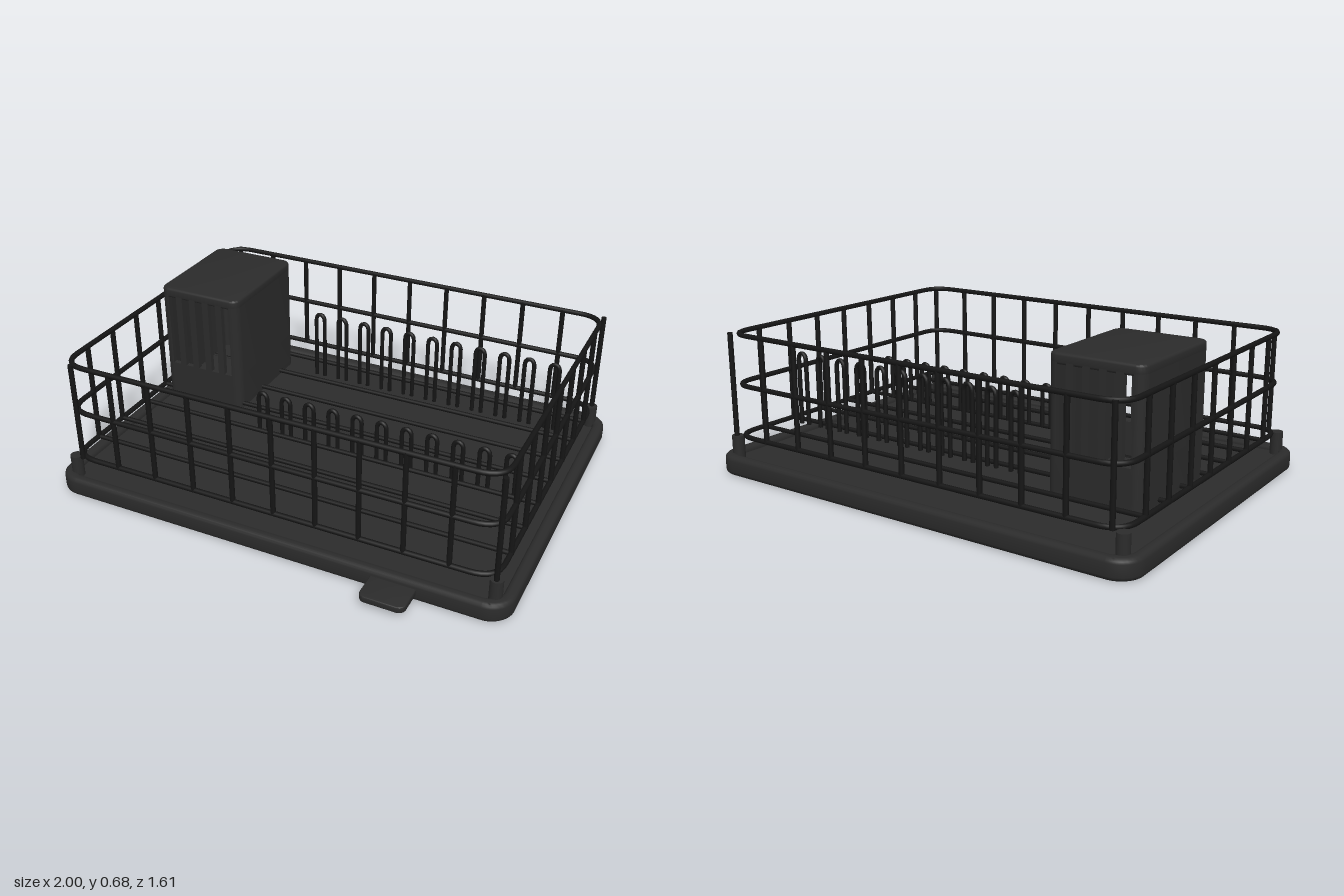
import * as THREE from 'three';
import { toCreasedNormals } from 'three/addons/utils/BufferGeometryUtils.js';

const mat = (name, color) => {
  const m = new THREE.MeshStandardMaterial({ color });
  m.name = name;
  return m;
};

// Rounded rectangle outline with half sizes w, d and corner radius r
function roundRect(w, d, r, Type = THREE.Shape) {
  const s = new Type();
  s.moveTo(-w + r, -d);
  s.lineTo(w - r, -d);
  s.absarc(w - r, -d + r, r, -Math.PI / 2, 0);
  s.lineTo(w, d - r);
  s.absarc(w - r, d - r, r, 0, Math.PI / 2);
  s.lineTo(-w + r, d);
  s.absarc(-w + r, d - r, r, Math.PI / 2, Math.PI);
  s.lineTo(-w, -d + r);
  s.absarc(-w + r, -d + r, r, Math.PI, Math.PI * 1.5);
  return s;
}

// Plan shape raised from y0 to y1, with an optional rounded edge inside that height
function slab(shape, y0, y1, bevel = 0) {
  const g = new THREE.ExtrudeGeometry(shape, {
    depth: y1 - y0 - 2 * bevel, bevelEnabled: bevel > 0, bevelSize: bevel,
    bevelThickness: bevel, bevelOffset: -bevel, bevelSegments: 3, curveSegments: 8,
  });
  g.rotateX(-Math.PI / 2).translate(0, y0 + bevel, 0);
  return toCreasedNormals(g, 0.7);
}

export function createModel() {
  const plastic = mat('charcoal plastic', 0x2b2b2b);
  const wire = mat('black wire', 0x151515);
  const model = new THREE.Group();
  model.name = 'dishRack';

  const add = (parent, name, geometry, material, x = 0, y = 0, z = 0) => {
    const m = new THREE.Mesh(geometry, material);
    m.name = name;
    m.position.set(x, y, z);
    parent.add(m);
    return m;
  };
  const group = (name, x, z) => {
    const g = new THREE.Group();
    g.name = name;
    g.position.set(x, 0, z);
    model.add(g);
    return g;
  };
  const CZ = -0.06;

  // Drip tray with raised rim and drain spout
  const tray = group('dripTray', 0, CZ);
  add(tray, 'trayFloor', slab(roundRect(0.98, 0.722, 0.08), 0.001, 0.06), plastic);
  const rim = roundRect(1, 0.742, 0.1);
  rim.holes.push(roundRect(0.95, 0.692, 0.06, THREE.Path));
  add(tray, 'trayRim', slab(rim, 0, 0.083, 0.018), plastic);
  add(tray, 'drainSpout', slab(roundRect(0.0925, 0.083, 0.03), 0.03, 0.057, 0.004), plastic, 0.556, 0, 0.78);

  // Wire basket: three rounded hoops
  const basket = group('wireBasket', 0, CZ);
  const W = 0.93, D = 0.678, R = 0.105, LOW = 0.16, HIGH = 0.598;
  const hoop = new THREE.CurvePath();
  const corners = [[1, 1], [-1, 1], [-1, -1], [1, -1]];
  const v = (x, z) => new THREE.Vector3(x, 0, z);
  corners.forEach(([sx, sz], i) => {
    const alongX = v(sx * (W - R), sz * D), alongZ = v(sx * W, sz * (D - R));
    const [a, b] = i % 2 ? [alongX, alongZ] : [alongZ, alongX];
    const [nx, nz] = corners[(i + 1) % 4];
    const next = i % 2 ? v(nx * (W - R), nz * D) : v(nx * W, nz * (D - R));
    hoop.add(new THREE.QuadraticBezierCurve3(a, v(sx * W, sz * D), b));
    hoop.add(new THREE.LineCurve3(b, i % 2 ? v(nx * W, nz * (D - R)) : v(nx * (W - R), nz * D)));
    next.setY(0);
  });
  const hoopGeometry = new THREE.TubeGeometry(hoop, 300, 0.011, 8, true);
  for (const y of [LOW, 0.383, HIGH]) add(basket, 'hoop', hoopGeometry, wire, 0, y);

  // Upright wires along front and back, stepped from the +x corner
  const upright = new THREE.CylinderGeometry(0.011, 0.011, HIGH - LOW + 0.008, 8);
  const midY = (HIGH + LOW) / 2;
  for (let i = 0; i < 11; i++) {
    for (const s of [-1, 1]) add(basket, 'uprightWire', upright, wire, W - i * 0.182, midY, s * D);
  }

  // Side uprights and floor wires
  const floorWire = new THREE.CylinderGeometry(0.01, 0.01, 2 * W, 8).rotateZ(Math.PI / 2);
  for (let i = 0; i < 7; i++) {
    const z = -0.58 + i * 0.172 - CZ;
    for (const s of [-1, 1]) add(basket, 'sideWire', upright, wire, s * W, midY, z);
    add(basket, 'floorWire', floorWire, wire, 0, LOW, z);
  }

  // Round feet
  const foot = new THREE.CylinderGeometry(0.026, 0.026, 0.1, 20);
  for (const [sx, sz] of corners) add(basket, 'foot', foot, plastic, sx * W, 0.108, sz * 0.672);

  // Two rows of hairpin plate holders
  const hairpin = (top) => {
    const h = 0.021, path = new THREE.CurvePath(), p = (x, y) => new THREE.Vector3(x, y, 0);
    path.add(new THREE.LineCurve3(p(-h, LOW), p(-h, top - 0.04)));
    path.add(new THREE.CubicBezierCurve3(p(-h, top - 0.04), p(-h, top), p(h, top), p(h, top - 0.04)));
    path.add(new THREE.LineCurve3(p(h, top - 0.04), p(h, LOW)));
    return new THREE.TubeGeometry(path, 60, 0.0095, 8);
  };
  for (const [z, top] of [[-0.458, 0.486], [0.1, 0.357]]) {
    const pin = hairpin(top);
    for (let i = 0; i < 11; i++) add(model, 'plateHolder', pin, wire, -0.308 + i * 0.1115, 0, z);
  }

  // Utensil caddy: hollow rounded box with slots in the front and back
  const caddy = group('utensilCaddy', -0.697, -0.29);
  const w = 0.195, d = 0.255, r = 0.04, t = 0.022, S0 = 0.305, S1 = 0.632;
  const band = roundRect(w, d, r);
  band.holes.push(roundRect(w - t, d - t, r - t, THREE.Path));
  add(caddy, 'caddyBase', slab(roundRect(w, d, r), 0.143, 0.163), plastic);
  add(caddy, 'caddyLowerWall', slab(band, 0.163, S0), plastic);
  add(caddy, 'caddyTop', slab(roundRect(w, d, r), S1, 0.675, 0.01), plastic);

  // Side wall wrapping round the corners as far as the first slot
  const e = 0.153, c = w - r, q = d - r;
  const side = new THREE.Shape();
  side.moveTo(e, -d);
  side.lineTo(c, -d);
  side.absarc(c, -q, r, -Math.PI / 2, 0);
  side.lineTo(w, q);
  side.absarc(c, q, r, 0, Math.PI / 2);
  side.lineTo(e, d);
  side.lineTo(e, d - t);
  side.lineTo(c, d - t);
  side.absarc(c, q, r - t, Math.PI / 2, 0, true);
  side.lineTo(w - t, -q);
  side.absarc(c, -q, r - t, 0, -Math.PI / 2, true);
  side.lineTo(e, -d + t);
  const sideWall = slab(side, S0, S1 + 0.01);
  add(caddy, 'caddySideWall', sideWall, plastic);
  add(caddy, 'caddySideWall', sideWall, plastic).rotation.y = Math.PI;

  // Bars between the five slots
  const bar = new THREE.BoxGeometry(0.03, S1 + 0.01 - S0, t);
  for (const s of [-1, 1]) {
    for (let i = 0; i < 4; i++) {
      add(caddy, 'caddySlotBar', bar, plastic, (i - 1.5) * 0.067, (S0 + S1 + 0.01) / 2, s * (d - t / 2));
    }
  }
  return model;
}
